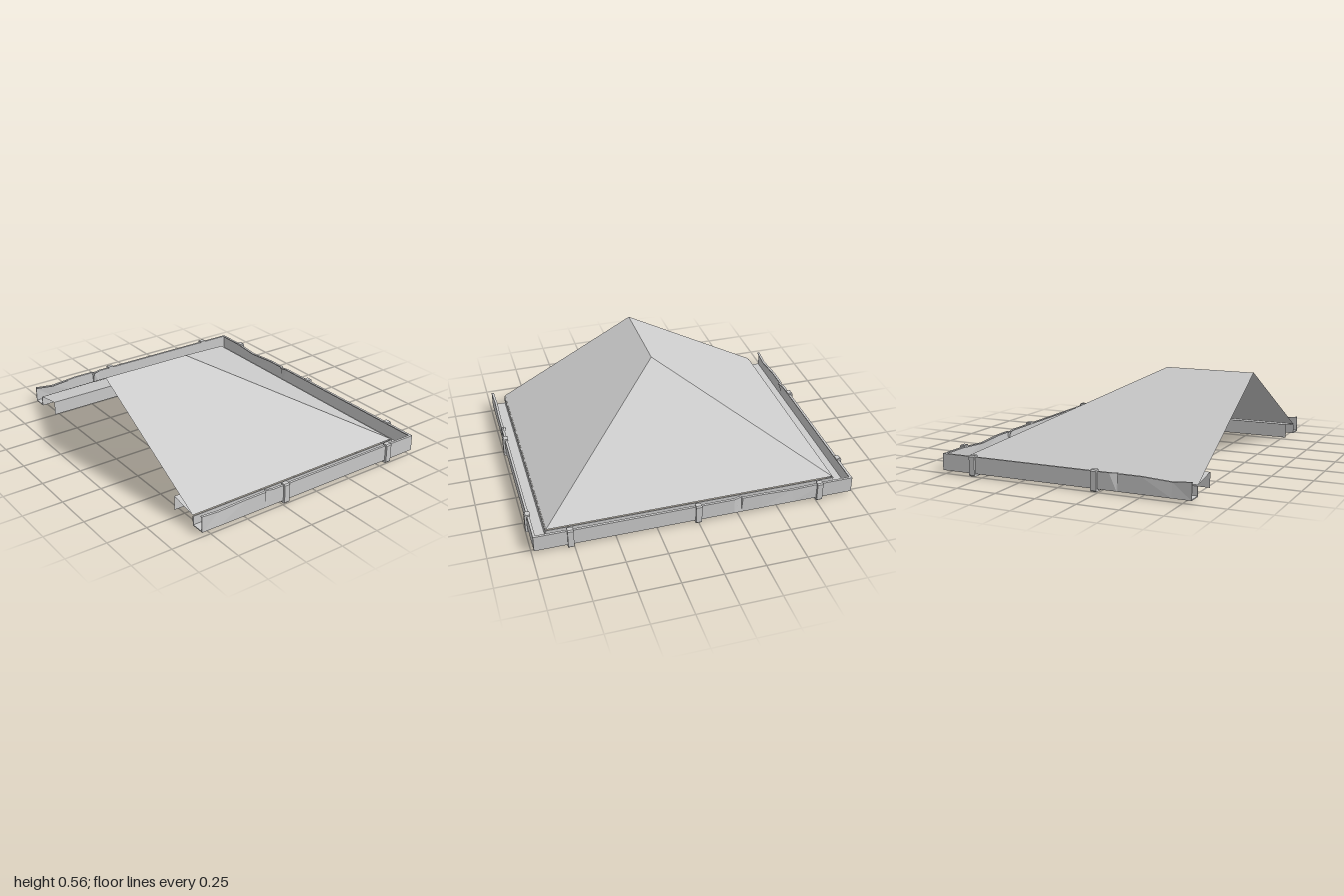
import * as THREE from 'three';

const END = -0.795, EAVE_X = 0.69, EAVE_Z = 0.895, EAVE_Y = 0.08;
const material = new THREE.MeshStandardMaterial({ color: 0xcccccc, flatShading: true, side: THREE.DoubleSide });

function named(name, geometry) {
  const mesh = new THREE.Mesh(geometry, material);
  mesh.name = name;
  return mesh;
}

function fromTriangles(points) {
  const g = new THREE.BufferGeometry().setFromPoints(points);
  g.computeVertexNormals();
  return g;
}

// Three-sided band between two U-shaped outlines, open at the cut end
function band(lower, upper) {
  const path = ({ x, y, z }) => [[END, z], [x, z], [x, -z], [END, -z]]
    .map(([px, pz]) => new THREE.Vector3(px, y, pz));
  const a = path(lower), b = path(upper), tris = [];
  for (let i = 0; i < 3; i++) {
    tris.push(a[i], a[i + 1], b[i + 1]);
    if (!b[i].equals(b[i + 1]) || i !== 1) tris.push(a[i], b[i + 1], b[i]);
  }
  return fromTriangles(tris);
}

// Gutter section: offset outward from the eave, height
const SECTION = [
  [0, 0.015], [0.09, 0.015], [0.09, 0.115], [0.075, 0.115], [0.075, 0.108],
  [0.084, 0.108], [0.084, 0.021], [0.006, 0.021], [0.006, 0.075], [0, 0.075],
].map(([o, y]) => new THREE.Vector2(o, y));

// Sweeps the section along stations { s, dip, push }; mitred corners grow with the offset
function gutterRun(stations, place, mitreStart) {
  const last = stations.length - 1;
  const rings = stations.map(({ s, dip = 0, push = 0 }, k) => SECTION.map((p) => {
    const rim = p.x > 0.05 && p.y > 0.1;
    const o = p.x - (rim ? push : 0), y = p.y - (rim ? dip : 0);
    const shift = k === last ? o : k === 0 && mitreStart ? -o : 0;
    return place(s + shift, y, o);
  }));
  const tris = [], n = SECTION.length;
  for (let k = 0; k < last; k++) {
    for (let i = 0; i < n; i++) {
      const j = (i + 1) % n;
      const a = rings[k][i], b = rings[k + 1][i], c = rings[k + 1][j], d = rings[k][j];
      tris.push(a, b, c, a, c, d);
    }
  }
  if (!mitreStart) {
    for (const face of THREE.ShapeUtils.triangulateShape(SECTION, [])) {
      tris.push(...face.map((i) => rings[0][i]));
    }
  }
  return fromTriangles(tris);
}

// Strap wrapped under, around and over the rim of the gutter
function strapGeometry() {
  const width = 0.036;
  const shape = new THREE.Shape([
    [0, 0], [0.098, 0], [0.105, 0.008], [0.105, 0.117], [0.098, 0.125], [0.07, 0.125],
    [0.07, 0.115], [0.092, 0.115], [0.092, 0.013], [0, 0.013],
  ].map(([x, y]) => new THREE.Vector2(x, y)));
  return new THREE.ExtrudeGeometry(shape, { depth: width, bevelEnabled: false })
    .translate(0, 0, -width / 2);
}

export function createModel() {
  const model = new THREE.Group();
  model.name = 'hippedRoofEnd';

  // Roof slopes, sloping soffit and the wall trim below it
  const eave = { x: EAVE_X, y: EAVE_Y, z: EAVE_Z };
  const trimTop = { x: 0.5, y: 0.11, z: 0.715 };
  model.add(named('roofSlopes', band(eave, { x: -0.23, y: 0.56, z: 0 })));
  model.add(named('soffit', band(trimTop, eave)));
  model.add(named('wallTrim', band({ ...trimTop, y: 0.02 }, trimTop)));

  // Gutters with a sagging rim and a small dent
  const longRun = gutterRun([
    { s: END }, { s: -0.68, dip: 0.012, push: 0.006 }, { s: -0.5 }, { s: -0.362 },
    { s: -0.355, push: 0.014 }, { s: -0.31 }, { s: EAVE_X },
  ], (s, y, o) => new THREE.Vector3(s, y, EAVE_Z + o), false);
  const endRun = gutterRun([
    { s: -EAVE_Z }, { s: 0.225 }, { s: 0.27, push: 0.014 }, { s: 0.277 },
    { s: 0.4 }, { s: 0.6, dip: 0.012, push: 0.006 }, { s: 0.8 }, { s: EAVE_Z },
  ], (s, y, o) => new THREE.Vector3(EAVE_X + o, y, -s), true);
  const frontGutter = named('frontGutter', longRun);
  const backGutter = named('backGutter', longRun);
  backGutter.scale.z = -1;
  model.add(frontGutter, backGutter, named('endGutter', endRun));

  // Gutter straps
  const strap = strapGeometry();
  for (const side of [1, -1]) {
    for (const x of [-0.22, 0.57]) {
      const mesh = named(side > 0 ? 'frontStrap' : 'backStrap', strap);
      mesh.position.set(x, 0, side * EAVE_Z);
      mesh.rotation.y = -side * Math.PI / 2;
      model.add(mesh);
    }
  }
  for (const z of [-0.77, 0, 0.77]) {
    const mesh = named('endStrap', strap);
    mesh.position.set(EAVE_X, 0, z);
    model.add(mesh);
  }
  return model;
}
